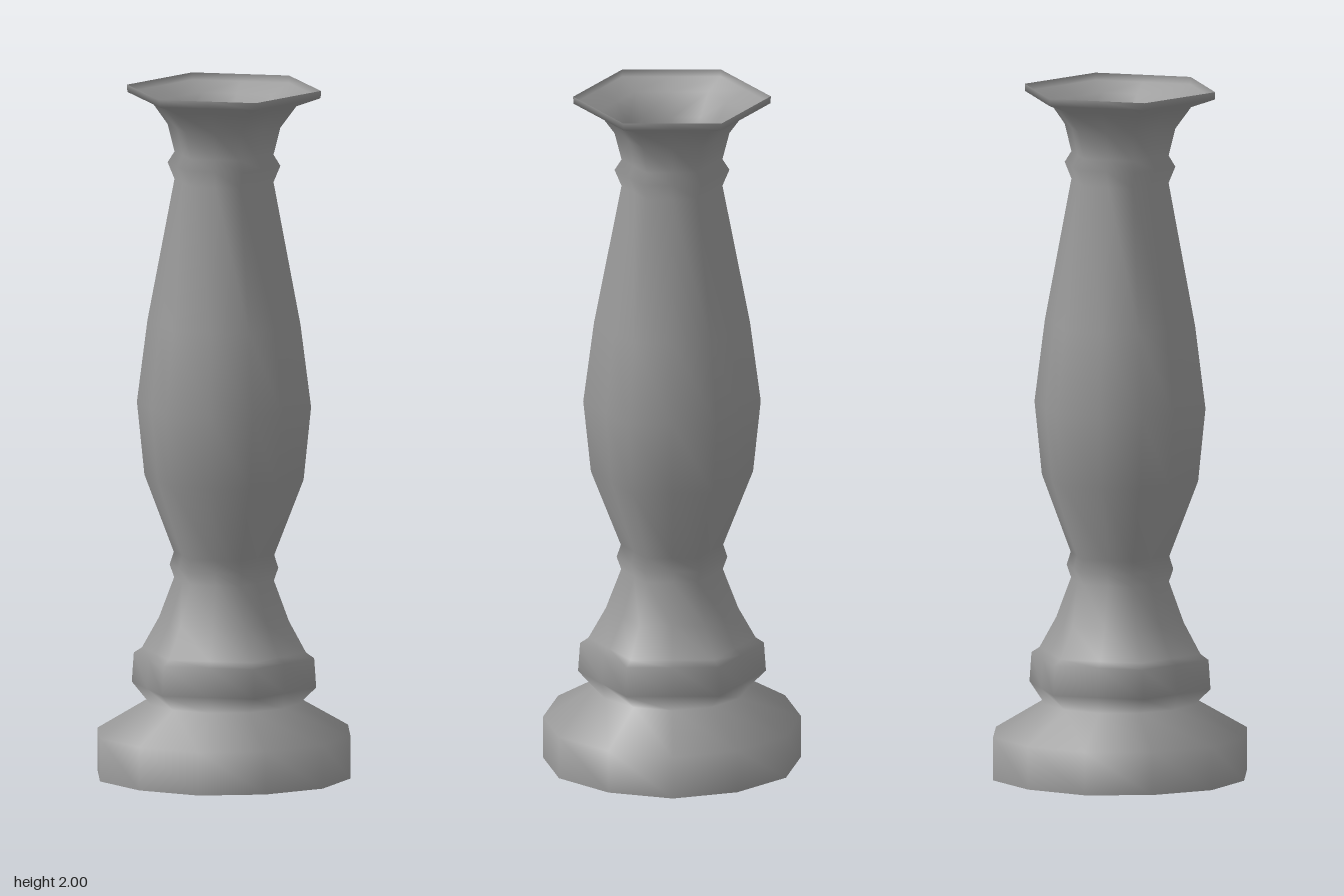
import * as THREE from 'three';
import { mergeVertices } from 'three/addons/utils/BufferGeometryUtils.js';

const material = new THREE.MeshStandardMaterial({ color: 0x999999, side: THREE.DoubleSide });

// Rings from bottom to top: [corner radius, height, mid-side radius].
// Without a mid-side radius the ring is a plain hexagon.
const rings = [
  // twelve-sided foot
  [0.37, 0, 0.3765], [0.37, 0.125, 0.3765], [0.222, 0.215, 0.222],
  // collar
  [0.27, 0.262], [0.264, 0.347], [0.24, 0.363],
  // lower neck and ring
  [0.19, 0.453], [0.146, 0.57], [0.159, 0.607], [0.147, 0.644],
  // swelling body
  [0.233, 0.866], [0.255, 1.078], [0.224, 1.317],
  // upper ring
  [0.145, 1.73], [0.165, 1.778], [0.145, 1.81],
  // flared cap
  [0.165, 1.889], [0.212, 1.953], [0.283, 1.979], [0.284, 2],
];

// Open turned shell with a corner and a mid-side column for each of the six sides
function turnedShell() {
  const lathe = new THREE.LatheGeometry(rings.map(([r, y]) => new THREE.Vector2(r, y)), 12);
  const pos = lathe.attributes.position;
  for (let column = 1; column < 12; column += 2) {
    const angle = column * Math.PI / 6;
    rings.forEach(([r, y, mid = r * Math.cos(Math.PI / 6)], row) => {
      pos.setXYZ(column * rings.length + row, mid * Math.sin(angle), y, mid * Math.cos(angle));
    });
  }
  // Weld the seam so the shading runs smoothly all round
  lathe.deleteAttribute('uv');
  lathe.deleteAttribute('normal');
  const geometry = mergeVertices(lathe, 1e-4);
  geometry.computeVertexNormals();
  return geometry;
}

export function createModel() {
  const model = new THREE.Group();
  model.name = 'baluster';
  const shell = new THREE.Mesh(turnedShell(), material);
  shell.name = 'turnedColumn';
  model.add(shell);
  return model;
}
